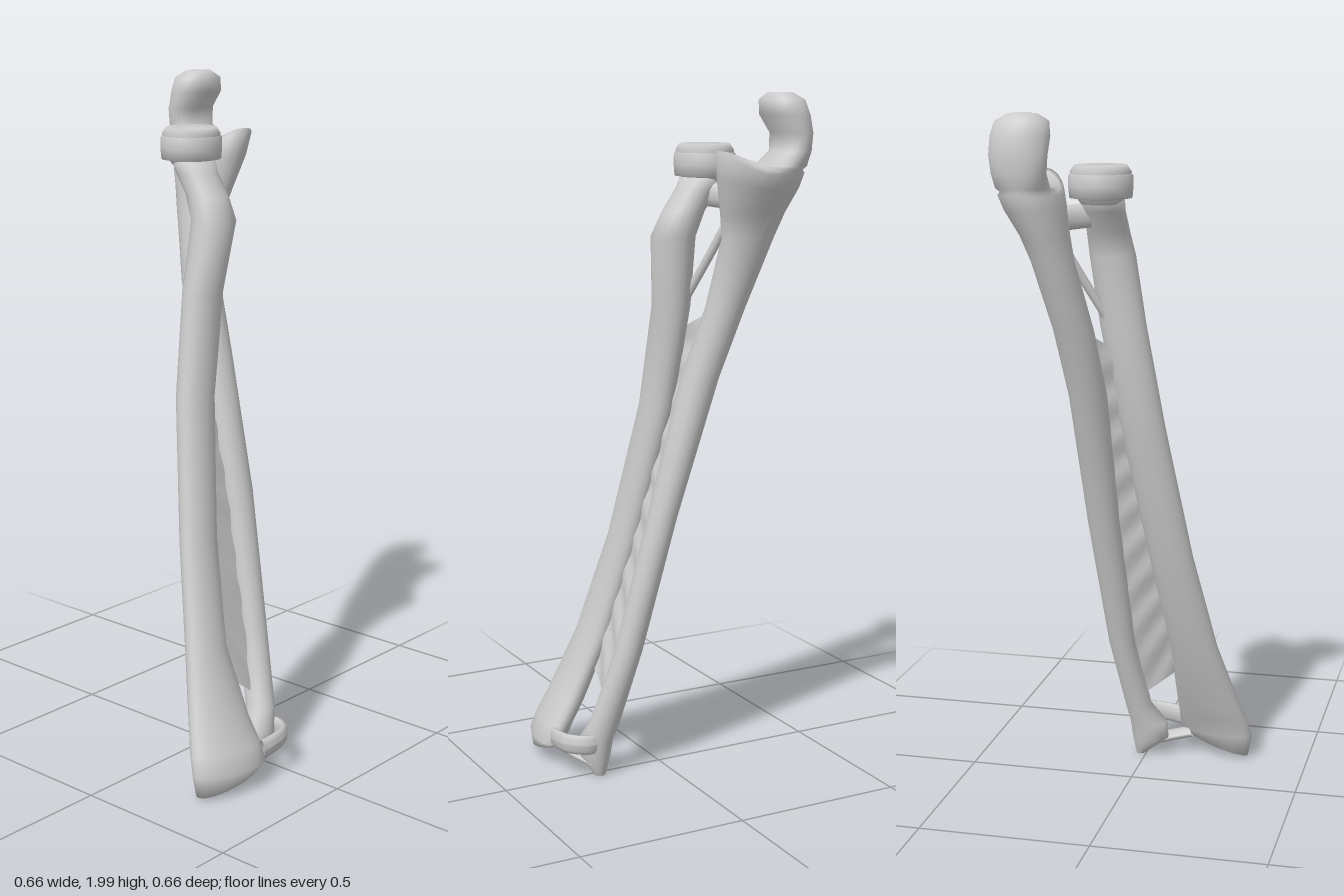
import * as THREE from 'three';

const material = new THREE.MeshStandardMaterial({ color: 0xcccccc, side: THREE.DoubleSide });
const SIDES = 24;

// Key cross-sections, bottom to top:
// [y, centre x, half width, centre z, half depth, then optional: skew of z over x, front lift]
const radiusRows = [
  [0.045, -0.215, 0.1, 0.268, 0.045, 0.22],
  [0.085, -0.209, 0.118, 0.27, 0.053, 0.22],
  [0.14, -0.203, 0.112, 0.248, 0.055, 0.2],
  [0.2, -0.193, 0.101, 0.218, 0.052, 0.15],
  [0.4, -0.162, 0.073, 0.138, 0.045],
  [0.7, -0.107, 0.066, 0.06, 0.043],
  [1.1, -0.038, 0.066, -0.013, 0.047],
  [1.4, 0.016, 0.067, -0.032, 0.052],
  [1.6, 0.05, 0.066, -0.02, 0.063],
  [1.67, 0.055, 0.061, -0.05, 0.06],
  [1.73, 0.057, 0.06, -0.09, 0.06],
  [1.78, 0.06, 0.066, -0.115, 0.062],
];

const ulnaRows = [
  [0.015, 0.018, 0.014, 0.205, 0.016],
  [0.07, -0.012, 0.056, 0.208, 0.044],
  [0.12, -0.008, 0.058, 0.205, 0.048],
  [0.18, 0.022, 0.04, 0.19, 0.046],
  [0.4, 0.06, 0.04, 0.13, 0.04],
  [0.8, 0.093, 0.048, 0.037, 0.042],
  [1.2, 0.11, 0.055, -0.075, 0.055],
  [1.4, 0.133, 0.057, -0.144, 0.057],
  [1.6, 0.18, 0.059, -0.188, 0.078],
  [1.67, 0.2, 0.067, -0.191, 0.098],
  [1.74, 0.225, 0.083, -0.193, 0.124, 0, 0.03],
  [1.78, 0.238, 0.087, -0.192, 0.133, 0, 0.065],
  [1.79, 0.238, 0.079, -0.205, 0.115, 0, 0.05],
  [1.8, 0.243, 0.075, -0.253, 0.074],
  [1.84, 0.245, 0.077, -0.283, 0.05],
  [1.89, 0.246, 0.082, -0.285, 0.05],
  [1.94, 0.246, 0.083, -0.263, 0.066],
  [1.98, 0.243, 0.075, -0.255, 0.06],
  [2.0, 0.242, 0.04, -0.25, 0.033],
];

function geometryFrom(positions, index) {
  const g = new THREE.BufferGeometry();
  g.setAttribute('position', new THREE.Float32BufferAttribute(positions, 3));
  g.setIndex(index);
  g.computeVertexNormals();
  return g;
}

// Closed smooth solid through the cross-sections; tilt slopes the lowest one
function loft(rows, tilt) {
  const p = [], idx = [], n = rows.length;
  rows.forEach(([y, cx, rx, cz, rz, skew = 0, lift = 0], i) => {
    for (let j = 0; j < SIDES; j++) {
      const a = (j / SIDES) * Math.PI * 2, s = Math.sin(a), dx = rx * Math.cos(a);
      const slope = i === 0 ? tilt * dx : 0;
      p.push(cx + dx, y + lift * Math.max(0, s) ** 2 + slope, cz + rz * s + skew * dx);
    }
  });
  const bottom = n * SIDES, top = bottom + 1;
  for (const r of [rows[0], rows[n - 1]]) p.push(r[1], r[0], r[3]);
  for (let j = 0; j < SIDES; j++) {
    const k = (j + 1) % SIDES;
    for (let i = 0; i < n - 1; i++) {
      const a = i * SIDES + j, b = i * SIDES + k;
      idx.push(a, a + SIDES, b, b, a + SIDES, b + SIDES);
    }
    idx.push(bottom, j, k, top, (n - 1) * SIDES + k, (n - 1) * SIDES + j);
  }
  return geometryFrom(p, idx);
}

// Centre of a bone at height y
function centreAt(rows, y) {
  const i = rows.findIndex((r) => r[0] > y), a = rows[i - 1], b = rows[i];
  const t = (y - a[0]) / (b[0] - a[0]);
  return new THREE.Vector3(a[1] + t * (b[1] - a[1]), y, a[3] + t * (b[3] - a[3]));
}

// Thin rippled sheet spanning the two bones
function membraneGeometry() {
  const p = [], idx = [], steps = 36, cols = 8;
  for (let i = 0; i <= steps; i++) {
    const t = i / steps;
    const r = centreAt(radiusRows, 0.36 + t * 0.94), u = centreAt(ulnaRows, 0.2 + t * 1.22);
    for (let j = 0; j <= cols; j++) {
      const v = r.clone().lerp(u, j / cols);
      const ripple = 0.005 * Math.sin((j / cols) * Math.PI) * Math.sin(i * 1.7 + j);
      p.push(v.x, v.y, v.z + ripple);
      if (i < steps && j < cols) {
        const a = i * (cols + 1) + j, c = a + cols + 1;
        idx.push(a, a + 1, c, a + 1, c + 1, c);
      }
    }
  }
  return geometryFrom(p, idx);
}

// Flat band swept along a path, with its width upright
function bandGeometry(points, height, thickness) {
  const curve = new THREE.CatmullRomCurve3(points.map((q) => new THREE.Vector3(...q)));
  const g = new THREE.TubeGeometry(curve, 16, 1, 10, false);
  const pos = g.attributes.position, v = new THREE.Vector3();
  for (let i = 0; i < pos.count; i++) {
    const c = curve.getPointAt(Math.floor(i / 11) / 16);
    v.fromBufferAttribute(pos, i).sub(c);
    pos.setXYZ(i, c.x + v.x * thickness, c.y + v.y * height, c.z + v.z * thickness);
  }
  g.computeVertexNormals();
  return g;
}

export function createModel() {
  const group = new THREE.Group();
  const add = (name, geometry) => {
    const mesh = new THREE.Mesh(geometry, material);
    mesh.name = name;
    group.add(mesh);
    return mesh;
  };
  // Round part about the axis of the radius head
  const addTurned = (name, profile) => {
    const mesh = add(name, new THREE.LatheGeometry(profile.map((q) => new THREE.Vector2(...q)), 32));
    mesh.position.set(0.06, 0, -0.115);
    mesh.scale.z = 0.95;
  };

  add('radiusBone', loft(radiusRows, 0.25));
  add('ulnaBone', loft(ulnaRows, 0));
  add('interosseousMembrane', membraneGeometry());

  // Dished head of the radius and the ring around it
  addTurned('radiusHead', [[0.055, 1.75], [0.082, 1.785], [0.086, 1.84], [0.074, 1.858], [0.04, 1.85], [0, 1.846]]);
  addTurned('annularLigament', [[0.07, 1.765], [0.088, 1.768], [0.091, 1.8], [0.09, 1.83], [0.082, 1.836]]);

  // Short tie from the neck of the radius to the ulna
  add('quadrateLigament', bandGeometry([[0.08, 1.72, -0.1], [0.13, 1.715, -0.13], [0.18, 1.71, -0.17]], 0.035, 0.018));

  // Slanting cord below the elbow
  add('obliqueCord', bandGeometry([[0.18, 1.66, -0.13], [0.13, 1.56, -0.1], [0.06, 1.43, -0.06]], 0.014, 0.012));

  // Strap joining the lower ends in front
  add('lowerFrontLigament', bandGeometry([[-0.1, 0.11, 0.3], [-0.05, 0.117, 0.305], [0.005, 0.122, 0.295], [0.035, 0.12, 0.245], [0.02, 0.12, 0.2]], 0.03, 0.012));

  // Pad between the lower ends
  add('lowerDisc', bandGeometry([[-0.13, 0.075, 0.26], [-0.06, 0.062, 0.24], [0.01, 0.05, 0.21]], 0.014, 0.03));
  return group;
}
